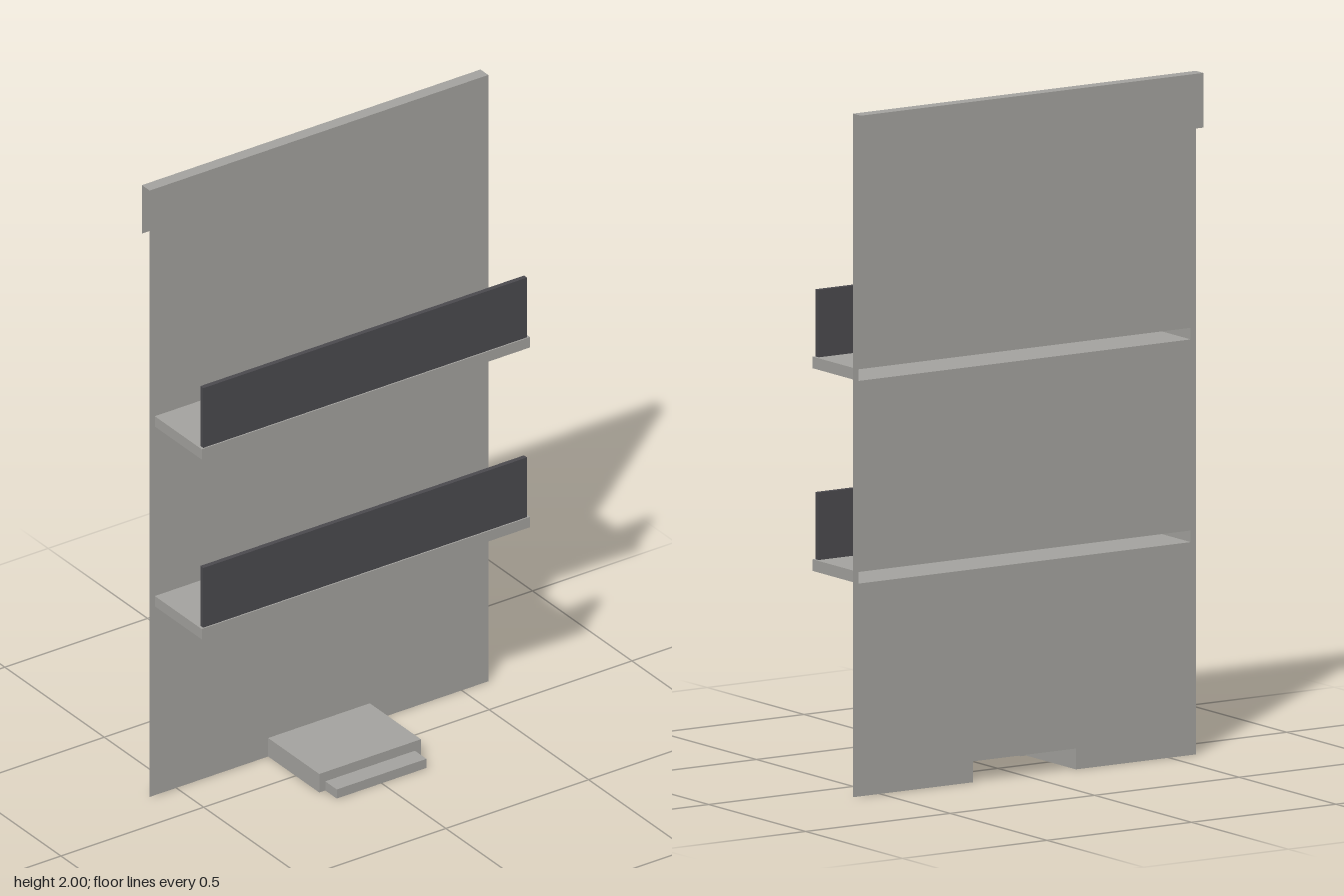
import * as THREE from 'three';

const panelHalf = 0.593, panelZ = -0.138, backZ = -0.177;
const shelfHalf = 0.575, shelfFront = 0.098, shelfThick = 0.034;
const stepHalf = 0.178, stepTop = 0.061, stepFront = 0.119;
const treadHalf = 0.157, treadTop = 0.03, treadFront = 0.177;

// Box between two corners, leaving out the listed faces (0..5 = +x -x +y -y +z -z)
function openBox(x0, x1, y0, y1, z0, z1, omit = []) {
  const g = new THREE.BoxGeometry(x1 - x0, y1 - y0, z1 - z0);
  const idx = Array.from(g.index.array);
  g.setIndex(idx.filter((_, i) => !omit.includes(Math.floor(i / 6))));
  g.clearGroups();
  g.translate((x0 + x1) / 2, (y0 + y1) / 2, (z0 + z1) / 2);
  return g;
}

// Flat sheet facing +z with a notch cut from its bottom edge
function notchedShape(half, top, notchHalf, notchTop) {
  return new THREE.Shape([
    [-half, 0], [-notchHalf, 0], [-notchHalf, notchTop], [notchHalf, notchTop],
    [notchHalf, 0], [half, 0], [half, top], [-half, top],
  ].map(([x, y]) => new THREE.Vector2(x, y)));
}

export function createModel() {
  const group = new THREE.Group();
  const sheetGrey = new THREE.MeshStandardMaterial({ color: 0xa5a4a0, side: THREE.DoubleSide });
  sheetGrey.name = 'sheet grey';
  const darkGrey = new THREE.MeshStandardMaterial({ color: 0x4b4a4e });
  darkGrey.name = 'dark grey';

  const add = (name, geometry, material, z = 0) => {
    const mesh = new THREE.Mesh(geometry, material);
    mesh.name = name;
    mesh.position.z = z;
    group.add(mesh);
  };

  // Back panel: slots open into the hollow shelves, bottom notch into the step
  const shelfBottoms = [0.623, 1.216];
  const panel = notchedShape(panelHalf, 2, stepHalf, stepTop);
  for (const y of shelfBottoms) {
    panel.holes.push(new THREE.Path([
      new THREE.Vector2(-shelfHalf, y), new THREE.Vector2(-shelfHalf, y + shelfThick),
      new THREE.Vector2(shelfHalf, y + shelfThick), new THREE.Vector2(shelfHalf, y),
    ]));
  }
  add('backPanel', new THREE.ShapeGeometry(panel), sheetGrey, panelZ);

  // Folded hanging lip: only the top and the rear flap
  add('hangingLip', openBox(-panelHalf, panelHalf, 1.84, 2, backZ, panelZ, [0, 1, 3, 4]), sheetGrey);

  // Hollow shelves, each with a dark upright board along the front
  shelfBottoms.forEach((y, i) => {
    const top = y + shelfThick;
    add(`shelf${i + 1}`, openBox(-shelfHalf, shelfHalf, y, top, panelZ, shelfFront, [5]), sheetGrey);
    add(`frontBoard${i + 1}`, openBox(-0.567, 0.567, top, top + 0.197, 0.079, 0.094), darkGrey);
  });

  // Step at the foot, open below and behind, with a notched front
  add('step', openBox(-stepHalf, stepHalf, 0, stepTop, panelZ, stepFront, [3, 4, 5]), sheetGrey);
  add('stepFront', new THREE.ShapeGeometry(notchedShape(stepHalf, stepTop, treadHalf, treadTop)), sheetGrey, stepFront);
  add('lowerStep', openBox(-treadHalf, treadHalf, 0, treadTop, stepFront, treadFront, [3, 5]), sheetGrey);

  return group;
}
